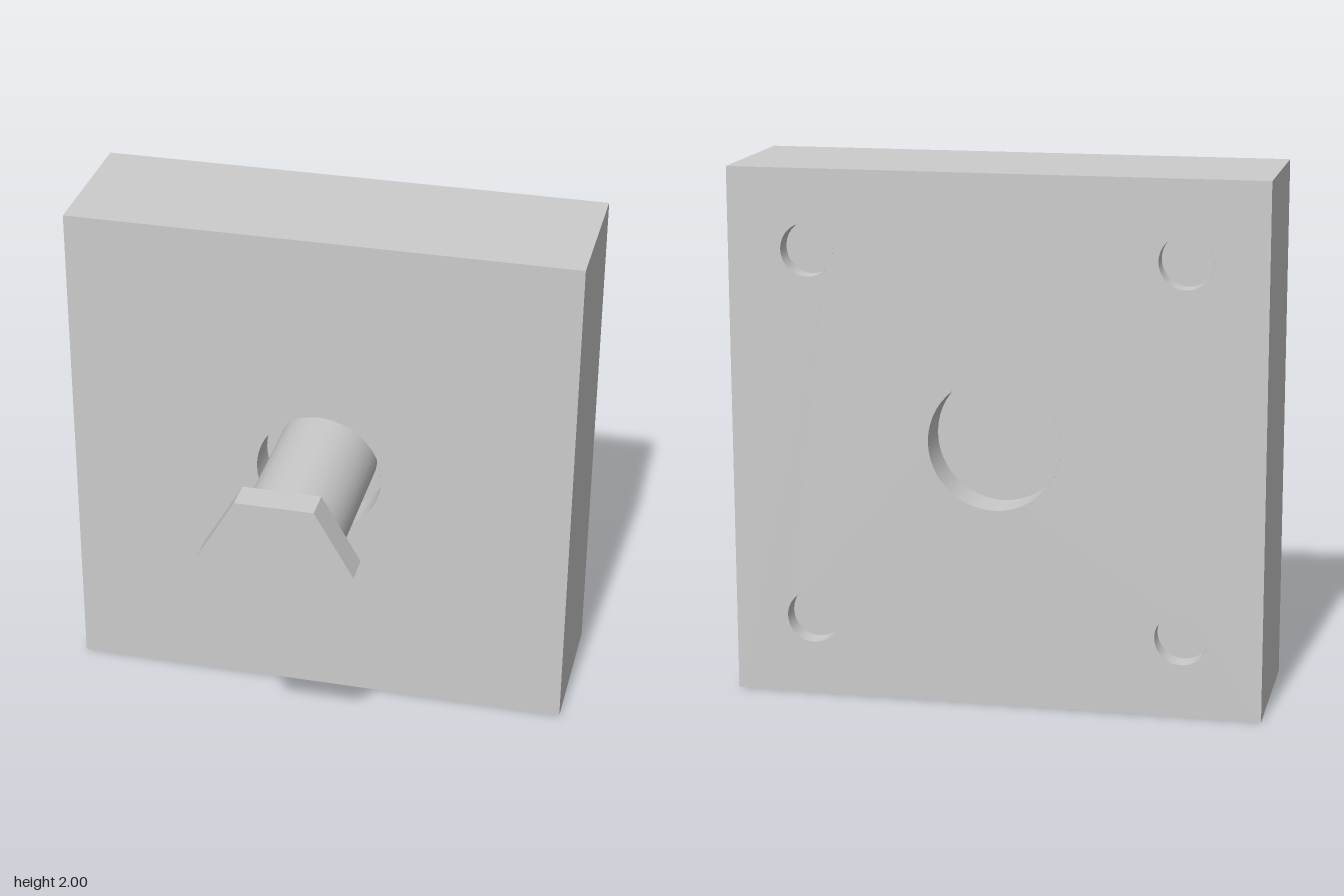
import * as THREE from 'three';

const FRONT = -0.05, BACK = -0.65; // plate faces
const SEG = 48;

export function createModel() {
  const model = new THREE.Group();
  const smooth = new THREE.MeshStandardMaterial({ color: 0xcccccc, side: THREE.DoubleSide });
  const flat = new THREE.MeshStandardMaterial({ color: 0xcccccc, side: THREE.DoubleSide, flatShading: true });

  const add = (name, geometry, material, parent = model) => {
    const mesh = new THREE.Mesh(geometry, material);
    mesh.name = name;
    parent.add(mesh);
    return mesh;
  };

  // Cylinder or prism along z between two depths
  const rod = (r, z0, z1, sides, open = false, turn = 0) =>
    new THREE.CylinderGeometry(r, r, z1 - z0, sides, 1, open)
      .rotateY(turn).rotateX(Math.PI / 2).translate(0, 0, (z0 + z1) / 2);

  // Square face with round openings, each given as [x, y, radius]
  const face = (holes) => {
    const s = new THREE.Shape([[-1, -1], [1, -1], [1, 1], [-1, 1]].map(p => new THREE.Vector2(...p)));
    for (const [x, y, r] of holes) s.holes.push(new THREE.Path().absarc(x, y, r, 0, Math.PI * 2, true));
    return new THREE.ShapeGeometry(s, SEG);
  };

  // Blind round pocket: wall and floor, dir = +1 opens to the front, -1 to the back
  const pocket = (name, [x, y, r], z, depth, dir) => {
    const g = new THREE.Group();
    g.name = name;
    const floorZ = z - dir * depth;
    add('pocketWall', rod(r, Math.min(z, floorZ), Math.max(z, floorZ), SEG, true), smooth, g);
    const floor = new THREE.CircleGeometry(r, SEG);
    if (dir < 0) floor.rotateY(Math.PI);
    add('pocketFloor', floor.translate(0, 0, floorZ), flat, g);
    g.position.set(x, y + 1, 0);
    model.add(g);
  };

  // Plate
  const centre = [0, 0, 0.25];
  const corners = [];
  for (const x of [-0.7, 0.7]) for (const y of [-0.7, 0.7]) corners.push([x, y, 0.1]);
  add('plateSides', rod(Math.SQRT2, BACK, FRONT, 4, true, Math.PI / 4).translate(0, 1, 0), flat);
  add('plateFront', face([centre]).translate(0, 1, FRONT), flat);
  add('plateBack', face([centre, ...corners]).rotateY(Math.PI).translate(0, 1, BACK), flat);

  // Pockets
  pocket('frontPocket', centre, FRONT, 0.16, 1);
  pocket('backPocket', centre, BACK, 0.16, -1);
  for (const c of corners) pocket('cornerPocket', c, BACK, 0.08, -1);

  // Bolt
  const bolt = new THREE.Group();
  bolt.name = 'bolt';
  bolt.position.y = 1;
  add('boltShank', rod(0.2, FRONT - 0.16, 0.53, SEG), smooth, bolt);
  add('boltHead', rod(0.3, 0.53, 0.65, 6, false, Math.PI / 6), flat, bolt);
  model.add(bolt);

  return model;
}
